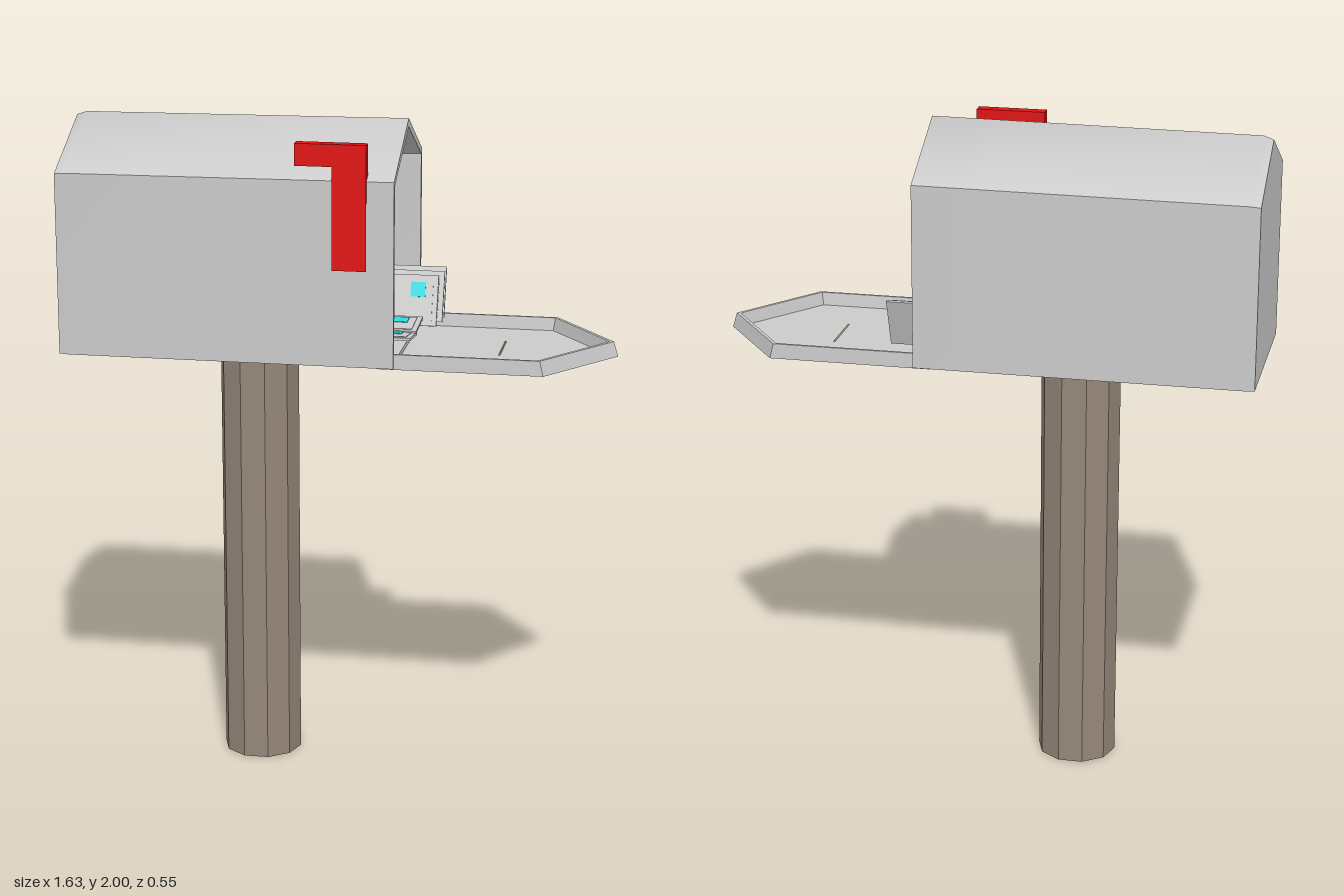
import * as THREE from 'three';
import { toCreasedNormals } from 'three/addons/utils/BufferGeometryUtils.js';

const paint = (color, extra = {}) => new THREE.MeshStandardMaterial({ color, ...extra });
const grey = paint(0xcccccc);
const wood = paint(0x96887a, { flatShading: true });
const red = paint(0xe31212);
const brass = paint(0xb9a070);
const cyan = paint(0x22dfe6);

function add(parent, name, geometry, material, x = 0, y = 0, z = 0) {
  const mesh = new THREE.Mesh(geometry, material);
  mesh.name = name;
  mesh.position.set(x, y, z);
  parent.add(mesh);
  return mesh;
}

// Skin a series of equal-length rings, closing the first and last with caps
function loft(rings, crease) {
  const pos = [];
  const tri = (...pts) => pts.forEach((p) => pos.push(...p));
  const n = rings[0].length;
  for (let r = 0; r < rings.length - 1; r++) {
    const a = rings[r], b = rings[r + 1];
    for (let i = 0; i < n; i++) {
      const j = (i + 1) % n;
      tri(a[i], b[i], b[j]);
      tri(a[i], b[j], a[j]);
    }
  }
  const first = rings[0], last = rings[rings.length - 1];
  for (let i = 1; i < n - 1; i++) {
    tri(first[0], first[i], first[i + 1]);
    tri(last[0], last[i + 1], last[i]);
  }
  const g = new THREE.BufferGeometry();
  g.setAttribute('position', new THREE.Float32BufferAttribute(pos, 3));
  return toCreasedNormals(g, crease);
}

// House-shaped cross-section of the box
const house = (x, bottom, eave, ridge, lowHalf, highHalf = lowHalf) => [
  [x, bottom, -lowHalf], [x, eave, -highHalf], [x, ridge, 0],
  [x, eave, highHalf], [x, bottom, lowHalf],
];

// Pointed outline of the open door
const outline = (y, hinge, shoulder, tip, half) => [
  [hinge, y, half], [shoulder, y, half], [tip, y, 0],
  [shoulder, y, -half], [hinge, y, -half],
];

// Envelope with a raised front panel and a stamp in one corner
function envelope(name, length, height) {
  const g = new THREE.Group();
  g.name = name;
  add(g, 'paper', new THREE.BoxGeometry(length, height, 0.008), grey);
  add(g, 'frontPanel', new THREE.BoxGeometry(length - 0.03, height - 0.03, 0.004), grey, 0, 0, 0.004);
  add(g, 'stamp', new THREE.BoxGeometry(0.045, 0.045, 0.006), cyan,
    length / 2 - 0.06, height / 2 - 0.045, 0.005);
  return g;
}

export function createModel() {
  const model = new THREE.Group();
  model.name = 'mailbox';

  // Ten-sided post
  const post = add(model, 'post', new THREE.CylinderGeometry(0.12, 0.12, 1.314, 10), wood, -0.27, 0.657, 0);
  post.rotation.y = Math.PI / 2;

  // Hollow box, from inner back wall round the opening to the outer back
  add(model, 'box', loft([
    house(-0.79, 1.335, 1.835, 1.95, 0.248, 0.228),
    house(0.18, 1.33, 1.848, 1.975, 0.254),
    house(0.18, 1.313, 1.862, 2.0, 0.27),
    house(-0.79, 1.313, 1.856, 1.992, 0.27),
    house(-0.82, 1.314, 1.853, 1.982, 0.268),
  ], 1.0), grey, 0, 0, -0.003);

  // Open door, a shallow tray with a thin rim
  add(model, 'door', loft([
    outline(1.316, 0.142, 0.592, 0.776, 0.248),
    outline(1.355, 0.14, 0.598, 0.783, 0.254),
    outline(1.355, 0.132, 0.604, 0.796, 0.262),
    outline(1.31, 0.13, 0.615, 0.81, 0.264),
  ], 0.3), grey, 0, 0, -0.003);

  // Door handle, a square bar set at a slant
  const handle = add(model, 'handle', new THREE.BoxGeometry(0.034, 0.036, 0.165), brass, 0.463, 1.294, -0.012);
  handle.rotation.z = 0.65;

  // Raised flag
  const flagShape = new THREE.Shape([
    [0, 1.6], [0.1, 1.6], [0.1, 1.967], [-0.108, 1.967], [-0.108, 1.902], [0, 1.902],
  ].map(([x, y]) => new THREE.Vector2(x, y)));
  add(model, 'flag', new THREE.ExtrudeGeometry(flagShape, { depth: 0.035, bevelEnabled: false }), red, 0, 0, 0.238);

  // Letters leaning on the side wall
  const mail = new THREE.Group();
  mail.name = 'mail';
  [[0.247, -0.165], [0.262, -0.19], [0.264, -0.217]].forEach(([end, z], i) => {
    const letter = envelope('leaningLetter' + (i + 1), 0.26, 0.155);
    letter.position.set(end - 0.13, 1.415 + i * 0.008, z);
    letter.rotation.x = -0.35;
    mail.add(letter);
  });

  // Letters lying on the floor, slightly tilted
  [[0.07, 1.362, 0.12], [-0.045, 1.368, -0.08]].forEach(([z, y, tilt], i) => {
    const letter = envelope('flatLetter' + (i + 1), 0.26, 0.14);
    letter.position.set(0.08, y, z);
    letter.rotation.x = -Math.PI / 2 - tilt;
    mail.add(letter);
  });
  model.add(mail);

  return model;
}
